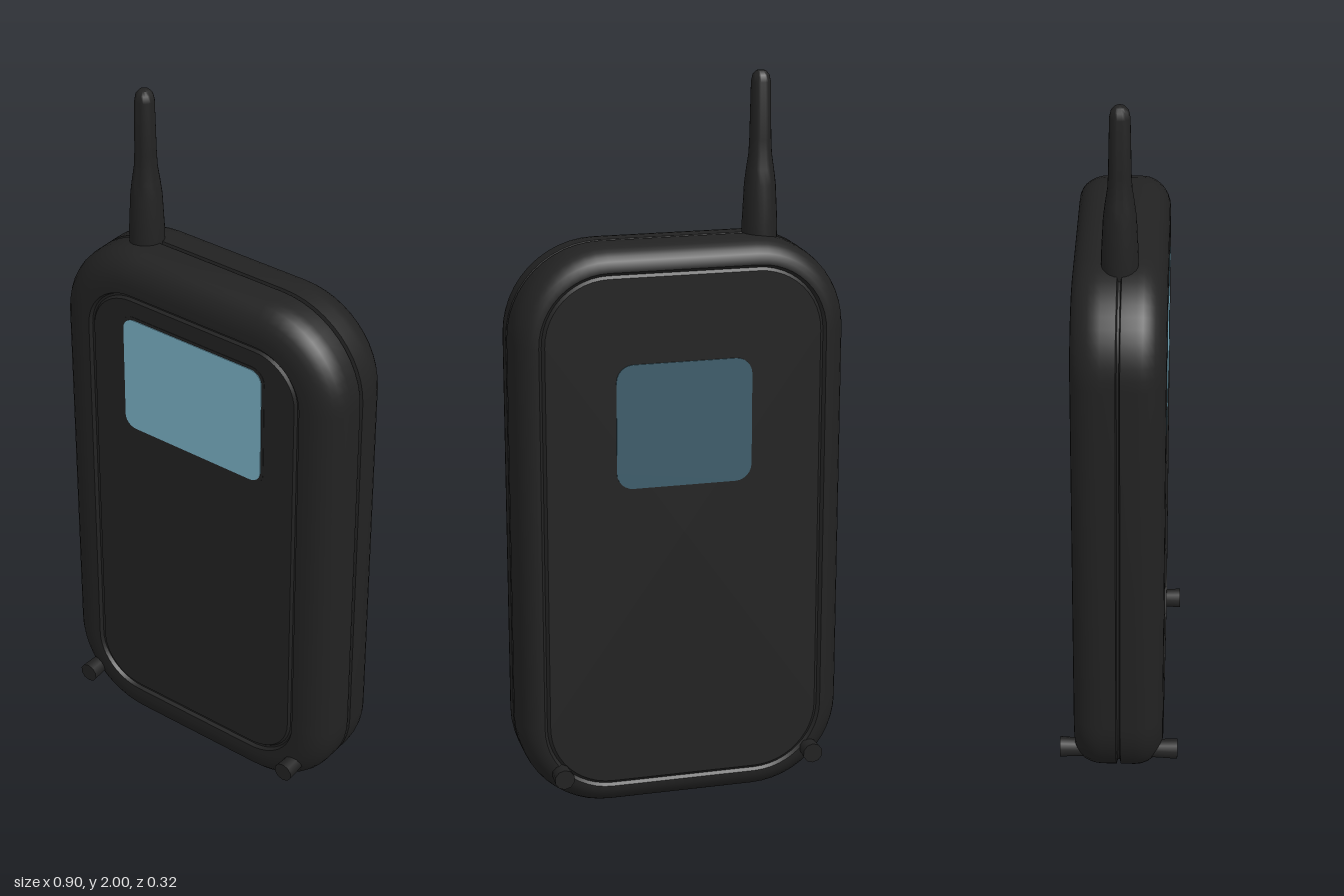
import * as THREE from 'three';
import { toCreasedNormals } from 'three/addons/utils/BufferGeometryUtils.js';

const MID_Y = 0.787, HALF_W = 0.452, HALF_H = 0.783, CORNER = 0.25;

// Rounded rectangle outline, counter-clockwise seen from +z
function outline(hw, hh, r, steps = 12) {
  const pts = [];
  [[1, 1], [-1, 1], [-1, -1], [1, -1]].forEach(([sx, sy], q) => {
    for (let i = 0; i <= steps; i++) {
      const a = (q + i / steps) * Math.PI / 2;
      pts.push(new THREE.Vector2(sx * (hw - r) + r * Math.cos(a), sy * (hh - r) + r * Math.sin(a)));
    }
  });
  return pts;
}

// Skin over rounded rectangles; each section is [inset, z], from back to front
function loft(sections) {
  const pos = [], idx = [];
  const rings = sections.map(([d, z]) => outline(HALF_W - d, HALF_H - d, CORNER - d).map(p => [p.x, p.y + MID_Y, z]));
  const n = rings[0].length;
  rings.forEach(r => r.forEach(p => pos.push(...p)));
  for (let k = 0; k < rings.length - 1; k++) {
    for (let i = 0; i < n; i++) {
      const a = k * n + i, b = k * n + (i + 1) % n;
      idx.push(a, b, b + n, a, b + n, a + n);
    }
  }
  const back = pos.length / 3, front = back + 1, last = (rings.length - 1) * n;
  pos.push(0, MID_Y, sections[0][1], 0, MID_Y, sections[sections.length - 1][1]);
  for (let i = 0; i < n; i++) {
    const j = (i + 1) % n;
    idx.push(back, j, i, front, last + i, last + j);
  }
  const g = new THREE.BufferGeometry();
  g.setAttribute('position', new THREE.Float32BufferAttribute(pos, 3));
  g.setIndex(idx);
  return toCreasedNormals(g, 0.6);
}

// Quarter-round edge, from the side wall to the face
function fillet(w, z0, z1, steps = 7) {
  return Array.from({ length: steps + 1 }, (_, i) => {
    const a = i / steps * Math.PI / 2;
    return [w * (1 - Math.cos(a)), z0 + (z1 - z0) * Math.sin(a)];
  });
}

export function createModel() {
  const group = new THREE.Group();
  const casing = new THREE.MeshStandardMaterial({ name: 'casing black', color: 0x222222 });
  const glass = new THREE.MeshStandardMaterial({ name: 'screen blue', color: 0x79b0c5 });
  const darkGlass = new THREE.MeshStandardMaterial({ name: 'rear window blue', color: 0x3e5d6b });
  const add = (name, geometry, material) => {
    const mesh = new THREE.Mesh(geometry, material);
    mesh.name = name;
    group.add(mesh);
    return mesh;
  };

  // Casing: wide rear panel, side seam, front rim and grooved front panel
  add('casing', loft([
    [0.078, -0.121], [0.07, -0.115], [0.062, -0.122],
    ...fillet(0.06, -0.045, -0.122).reverse(),
    [0, -0.006], [0.012, -0.003], [0.012, 0.003], [0, 0.006],
    ...fillet(0.085, 0.045, 0.122),
    [0.108, 0.122], [0.113, 0.112], [0.119, 0.112], [0.125, 0.119],
  ]), casing);

  // Thin windows on both faces
  const plate = (w, h, r, depth) => new THREE.ExtrudeGeometry(
    new THREE.Shape(outline(w / 2, h / 2, r, 6)), { depth, bevelEnabled: false });
  add('screenBezel', plate(0.466, 0.362, 0.04, 0.002), casing).position.set(0, 1.217, 0.118);
  add('screen', plate(0.45, 0.345, 0.035, 0.004), glass).position.set(0, 1.217, 0.118);
  const rear = add('rearWindow', plate(0.37, 0.34, 0.045, 0.004), darkGlass);
  rear.position.set(0, 1.09, -0.12);
  rear.rotation.y = Math.PI;

  // Antenna with thick base and slim rounded tip
  const profile = [[0, 1.54], [0.047, 1.54], [0.047, 1.6], [0.042, 1.7], [0.037, 1.74], [0.031, 1.78],
    [0.029, 1.82], [0.026, 1.97], [0.022, 1.988], [0.013, 1.998], [0, 2]];
  const antenna = add('antenna', toCreasedNormals(
    new THREE.LatheGeometry(profile.map(p => new THREE.Vector2(...p)), 24), 0.7), casing);
  antenna.position.x = -0.237;

  // Small corner studs, front and back
  for (const x of [-0.36, 0.345]) {
    for (const side of [-1, 1]) {
      const stud = add('cornerStud', new THREE.CylinderGeometry(0.028, 0.024, 0.08, 10), casing);
      stud.position.set(x, 0.118, side * 0.122);
      stud.rotation.x = side * Math.PI / 2;
    }
  }
  return group;
}
